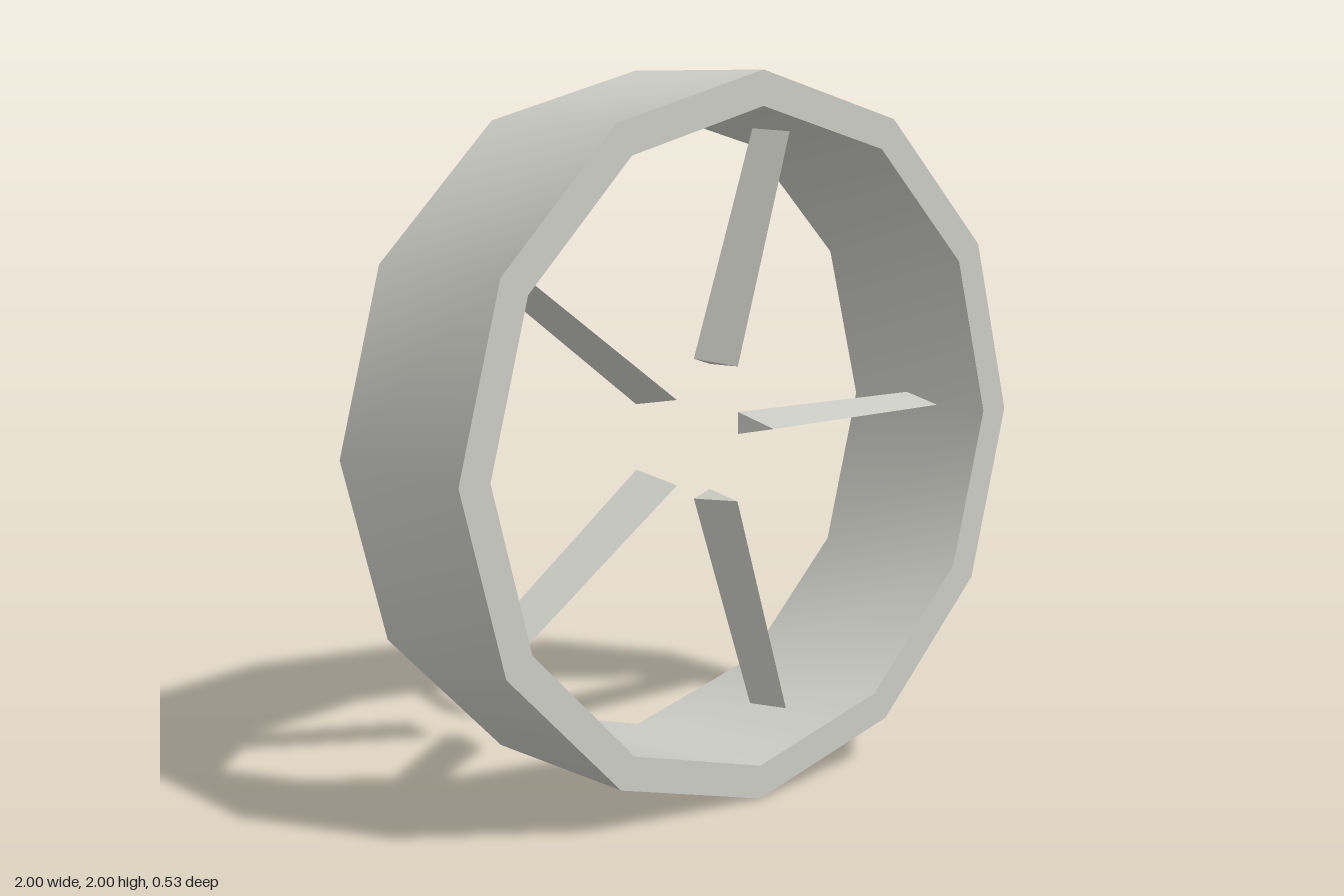
import * as THREE from 'three';
import { toCreasedNormals } from 'three/addons/utils/BufferGeometryUtils.js';

export function createModel() {
  const model = new THREE.Group();
  model.name = 'wheel';
  const paleGrey = new THREE.MeshStandardMaterial({ color: 0xcbcbc5 });
  paleGrey.name = 'paleGrey';

  // Twelve-sided rim: rectangular section swept round, smooth along the bands
  const outer = 1, inner = 0.905, half = 0.265;
  const section = [[inner, -half], [outer, -half], [outer, half], [inner, half], [inner, -half]]
    .map(([r, h]) => new THREE.Vector2(r, h));
  const rim = new THREE.Mesh(toCreasedNormals(new THREE.LatheGeometry(section, 12), 0.6), paleGrey);
  rim.name = 'rim';
  rim.rotation.x = Math.PI / 2;
  rim.position.y = 1;
  model.add(rim);

  // Five tapered three-sided spokes, sharp edge to the front, flat face to the back
  const spokeGeometry = toCreasedNormals(
    new THREE.CylinderGeometry(0.083, 0.1, 0.7, 3)
      .scale(0.37, 1, 1)
      .translate(0, 0.55, 0)
      .rotateZ(-Math.PI / 2), 0.3);
  for (let i = 0; i < 5; i++) {
    const spoke = new THREE.Mesh(spokeGeometry, paleGrey);
    spoke.name = `spoke${i + 1}`;
    spoke.position.y = 1;
    spoke.rotation.z = (i * Math.PI * 2) / 5;
    model.add(spoke);
  }
  return model;
}
